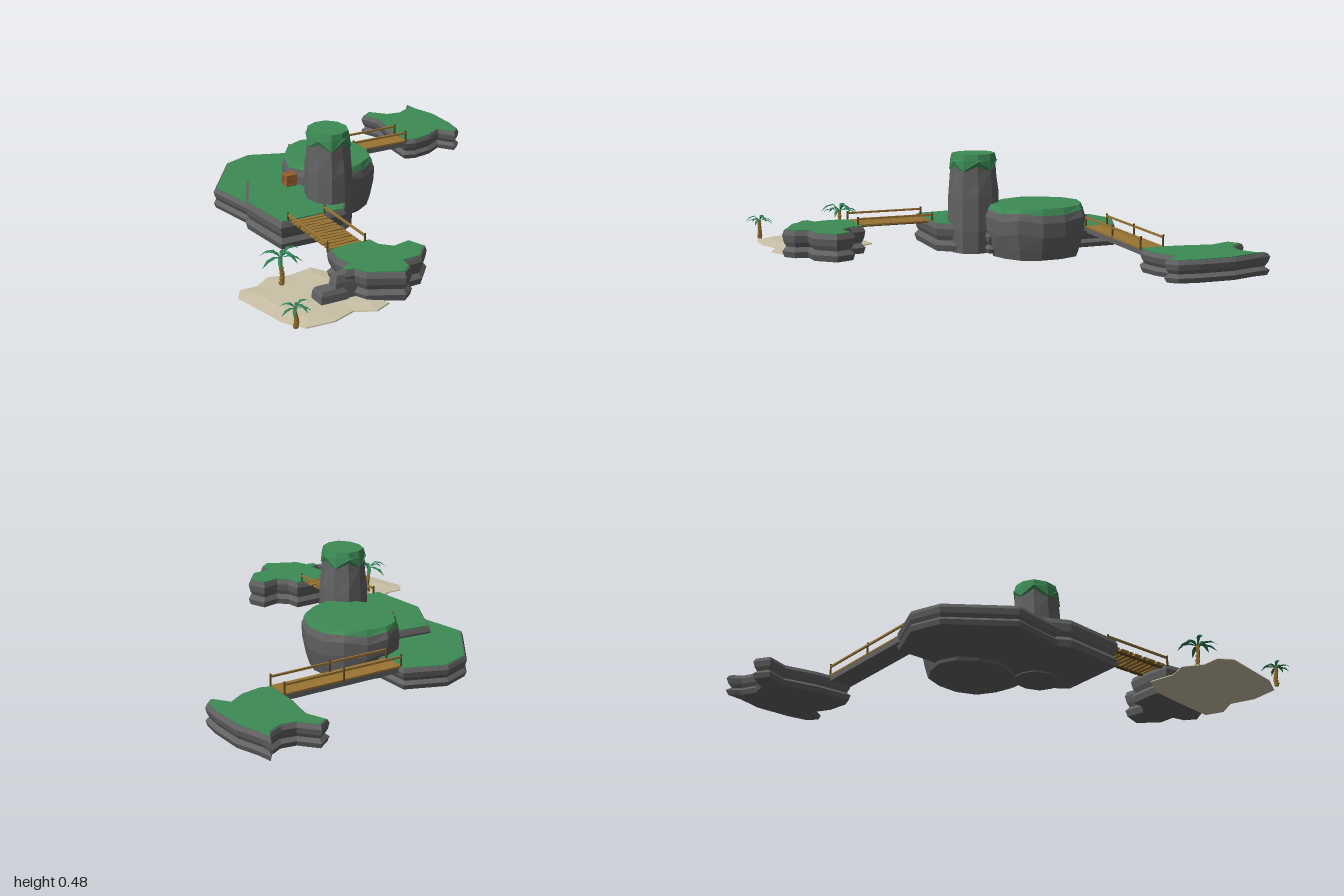
import * as THREE from 'three';

const mat = (color) => new THREE.MeshStandardMaterial({ color, flatShading: true, side: THREE.DoubleSide });
const ROCK = mat(0x626262), GRASS = mat(0x3d8b55), SAND = mat(0xcbc1a7);
const WOOD = mat(0x9a7534), DARK = mat(0x5a4522), CRATE = mat(0x9c5f35), LEAF = mat(0x2f8055);

function add(parent, name, geo, material, x = 0, y = 0, z = 0) {
  const m = new THREE.Mesh(geo, material);
  m.name = name;
  m.position.set(x, y, z);
  parent.add(m);
  return m;
}

// Stacks inset copies of an [x, z] outline; ring = [y, inset, zigzag height]
function loft(outline, rings) {
  let p = outline.map(([x, z]) => new THREE.Vector2(x, -z));
  if (THREE.ShapeUtils.isClockWise(p)) p.reverse();
  const n = p.length, pos = [];
  const normals = p.map((c, i) => {
    const a = c.clone().sub(p[(i + n - 1) % n]).normalize();
    const b = p[(i + 1) % n].clone().sub(c).normalize();
    const m = new THREE.Vector2(-a.y - b.y, a.x + b.x).normalize();
    return m.divideScalar(Math.max(0.6, m.dot(new THREE.Vector2(-a.y, a.x))));
  });
  const layers = rings.map(([y, inset, zig = 0]) => p.map((c, i) => [
    c.x + normals[i].x * inset, y + (i % 2 ? zig : 0), -(c.y + normals[i].y * inset)]));
  for (let k = 0; k + 1 < layers.length; k++) {
    const lo = layers[k], hi = layers[k + 1];
    for (let i = 0; i < n; i++) {
      const j = (i + 1) % n;
      pos.push(...lo[i], ...lo[j], ...hi[j], ...lo[i], ...hi[j], ...hi[i]);
    }
  }
  const cap = (l, flip) => {
    const flat = l.map(([x, , z]) => new THREE.Vector2(x, -z));
    for (const [a, b, c] of THREE.ShapeUtils.triangulateShape(flat, [])) {
      pos.push(...l[a], ...(flip ? l[c] : l[b]), ...(flip ? l[b] : l[c]));
    }
  };
  cap(layers[0], true);
  cap(layers[layers.length - 1], false);
  const g = new THREE.BufferGeometry();
  g.setAttribute('position', new THREE.Float32BufferAttribute(pos, 3));
  g.computeVertexNormals();
  return g;
}

// Layered rock ledge with a grass top
function island(parent, name, outline, top, bottom = 0.015) {
  const g = new THREE.Group();
  g.name = name;
  const h = top - bottom, y = (t) => bottom + h * t;
  add(g, 'rock', loft(outline, [[bottom, 0.008], [y(0.22), 0], [y(0.38), 0.016], [y(0.55), 0.006],
    [y(0.8), 0], [y(0.97), 0.008]]), ROCK);
  add(g, 'grass', loft(outline, [[y(0.9), 0.014], [top, 0.014]]), GRASS);
  parent.add(g);
}

// Slightly uneven oval outline
const oval = (cx, cz, rx, rz, n, turn = 0) => Array.from({ length: n }, (_, i) => {
  const a = (i / n) * Math.PI * 2 + turn, r = 1 + 0.03 * Math.sin(i * 2.4);
  return [cx + rx * r * Math.cos(a), cz + rz * r * Math.sin(a)];
});

// Handrail along +x, with posts
function rail(parent, length, z, y, height, posts) {
  add(parent, 'handrail', new THREE.BoxGeometry(length, 0.009, 0.009), WOOD, 0, y + height * 0.8, z);
  for (let i = 0; i < posts; i++) {
    add(parent, 'railPost', new THREE.CylinderGeometry(0.005, 0.005, height, 6), DARK,
      -length / 2 + (i * length) / (posts - 1), y + height / 2, z);
  }
}

// Folded, drooping palm leaf along +x
function frond(r, lift) {
  const sections = [[0, 0.012, 0], [0.35, 0.1, 0.12 + lift], [0.7, 0.1, 0.06 + lift], [1, 0.006, -0.2 + lift]];
  const pos = [];
  const pt = ([t, w, y], s) => [t * r, (y - Math.abs(s) * w * 0.4) * r, s * w * r];
  for (let k = 0; k < 3; k++) {
    for (const s of [-1, 1]) {
      const a = pt(sections[k], 0), b = pt(sections[k + 1], 0);
      const c = pt(sections[k], s), d = pt(sections[k + 1], s);
      if (s > 0) pos.push(...a, ...c, ...d, ...a, ...d, ...b);
      else pos.push(...a, ...d, ...c, ...a, ...b, ...d);
    }
  }
  const g = new THREE.BufferGeometry();
  g.setAttribute('position', new THREE.Float32BufferAttribute(pos, 3));
  g.computeVertexNormals();
  return g;
}

function palm(parent, x, z, height, r) {
  const g = new THREE.Group();
  g.name = 'palmTree';
  g.position.set(x, 0.015, z);
  const n = 6, step = height / n;
  for (let i = 0; i < n; i++) {
    add(g, 'trunkSegment', new THREE.CylinderGeometry(0.013 - i * 0.0007, 0.01 - i * 0.0007, step, 7), WOOD,
      0.004 * Math.sin(i), step * (i + 0.5), 0);
  }
  for (let i = 0; i < 8; i++) {
    const leaf = add(g, 'palmLeaf', frond(r * (i % 2 ? 0.88 : 1), i % 3 ? 0 : 0.25), LEAF, 0, height, 0);
    leaf.rotation.y = (i / 8) * Math.PI * 2 + 0.25;
  }
  parent.add(g);
}

export function createModel() {
  const root = new THREE.Group();
  root.name = 'islands';

  // Main island: low back terrace and higher front terrace
  island(root, 'backTerrace', [[-0.24, -0.735], [-0.045, -0.66], [-0.04, -0.46], [-0.04, 0], [-0.45, 0],
    [-0.535, -0.15], [-0.58, -0.4], [-0.385, -0.68]], 0.115);
  island(root, 'frontTerrace', [[-0.43, -0.35], [-0.18, -0.325], [-0.08, -0.1], [-0.1, 0.06], [-0.2, 0.21],
    [-0.53, 0.21], [-0.56, -0.09]], 0.15);

  // Wide boulder
  const boulder = oval(-0.05, -0.245, 0.216, 0.245, 13, 0.2);
  add(root, 'boulder', loft(boulder, [[0, 0.035], [0.05, 0.02], [0.11, 0.004, 0.02], [0.18, 0, 0.015],
    [0.222, 0.012], [0.238, 0.022]]), ROCK);
  add(root, 'boulderGrass', loft(boulder, [[0.215, 0.009, 0.012], [0.246, 0.022]]), GRASS);

  // Tall rock tower with a jagged grass cap
  const tower = oval(-0.187, 0.023, 0.108, 0.124, 10, 0.1);
  add(root, 'tower', loft(tower, [[0.01, 0.008], [0.12, 0], [0.27, 0.003, 0.03], [0.4, 0.012, -0.03],
    [0.475, 0.02]]), ROCK);
  add(root, 'towerGrass', loft(tower, [[0.405, 0.008, 0.045], [0.455, 0.013], [0.482, 0.019]]), GRASS);

  // Small front island
  island(root, 'frontIsland', [[-0.485, 0.555], [-0.39, 0.54], [-0.26, 0.54], [-0.25, 0.61], [-0.21, 0.65],
    [-0.12, 0.63], [-0.085, 0.725], [-0.165, 0.82], [-0.245, 0.825], [-0.255, 0.885], [-0.31, 0.93],
    [-0.385, 0.89], [-0.46, 0.855], [-0.485, 0.8], [-0.53, 0.795], [-0.53, 0.745], [-0.485, 0.725],
    [-0.5, 0.66]], 0.147);

  // Far island
  island(root, 'farIsland', [[0.54, -0.95], [0.61, -1], [0.68, -0.92], [0.745, -0.91], [0.81, -0.945],
    [0.85, -1], [0.865, -0.915], [0.9, -0.8], [0.9, -0.63], [0.885, -0.53], [0.835, -0.485], [0.78, -0.56],
    [0.7, -0.51], [0.6, -0.49], [0.54, -0.51], [0.55, -0.69], [0.58, -0.845]], 0.118);

  // Beach and stone steps
  add(root, 'beach', loft([[-0.91, 0.555], [-0.87, 0.49], [-0.79, 0.49], [-0.71, 0.43], [-0.62, 0.46],
    [-0.5, 0.435], [-0.43, 0.55], [-0.4, 0.75], [-0.38, 0.91], [-0.46, 0.95], [-0.55, 0.905], [-0.66, 0.95],
    [-0.79, 0.945], [-0.85, 0.85]], [[0.012, 0], [0.017, 0.002], [0.021, 0.04], [0.025, 0.07]]), SAND);
  const step = (x0, x1, z0, z1, h) => add(root, 'stoneStep',
    loft([[x0, z0], [x1, z0], [x1, z1], [x0, z1]], [[0.015, 0], [h * 0.75, 0.003], [h, 0.012]]), ROCK);
  step(-0.65, -0.52, 0.72, 0.81, 0.077);
  step(-0.575, -0.47, 0.735, 0.8, 0.132);

  // Long solid bridge
  const long = new THREE.Group();
  long.name = 'longBridge';
  long.position.set(0.245, 0, -0.565);
  add(long, 'beam', new THREE.BoxGeometry(0.61, 0.024, 0.114), ROCK, 0, 0.097, 0);
  add(long, 'deck', new THREE.BoxGeometry(0.612, 0.008, 0.118), WOOD, 0, 0.113, 0);
  for (const z of [-0.056, 0.056]) rail(long, 0.61, z, 0.11, 0.06, 3);
  root.add(long);

  // Short plank bridge
  const short = new THREE.Group();
  short.name = 'plankBridge';
  short.position.set(-0.393, 0, 0.378);
  short.rotation.y = Math.PI / 2;
  for (let i = 0; i < 13; i++) {
    const plank = add(short, 'plank', new THREE.BoxGeometry(0.021, 0.008, 0.163), WOOD, -0.168 + i * 0.028, 0.142, 0);
    plank.rotation.y = 0.05 * Math.sin(i * 2.3);
  }
  for (const z of [-0.06, 0.06]) add(short, 'stringer', new THREE.BoxGeometry(0.37, 0.008, 0.01), DARK, 0, 0.135, z);
  for (const z of [-0.092, 0.092]) rail(short, 0.37, z, 0.135, 0.05, 2);
  root.add(short);

  // Crate: framed box
  const crate = new THREE.Group();
  crate.name = 'crate';
  crate.position.set(-0.283, 0.177, -0.188);
  add(crate, 'crateBody', new THREE.BoxGeometry(0.046, 0.05, 0.046), CRATE);
  for (const a of [-1, 1]) for (const b of [-1, 1]) {
    add(crate, 'crateEdge', new THREE.BoxGeometry(0.01, 0.054, 0.01), CRATE, a * 0.022, 0, b * 0.022);
    add(crate, 'crateEdge', new THREE.BoxGeometry(0.054, 0.01, 0.01), CRATE, 0, a * 0.022, b * 0.022);
    add(crate, 'crateEdge', new THREE.BoxGeometry(0.01, 0.01, 0.054), CRATE, a * 0.022, b * 0.022, 0);
  }
  root.add(crate);

  // Palms on the beach
  palm(root, -0.7, 0.545, 0.138, 0.105);
  palm(root, -0.827, 0.922, 0.09, 0.075);
  return root;
}
